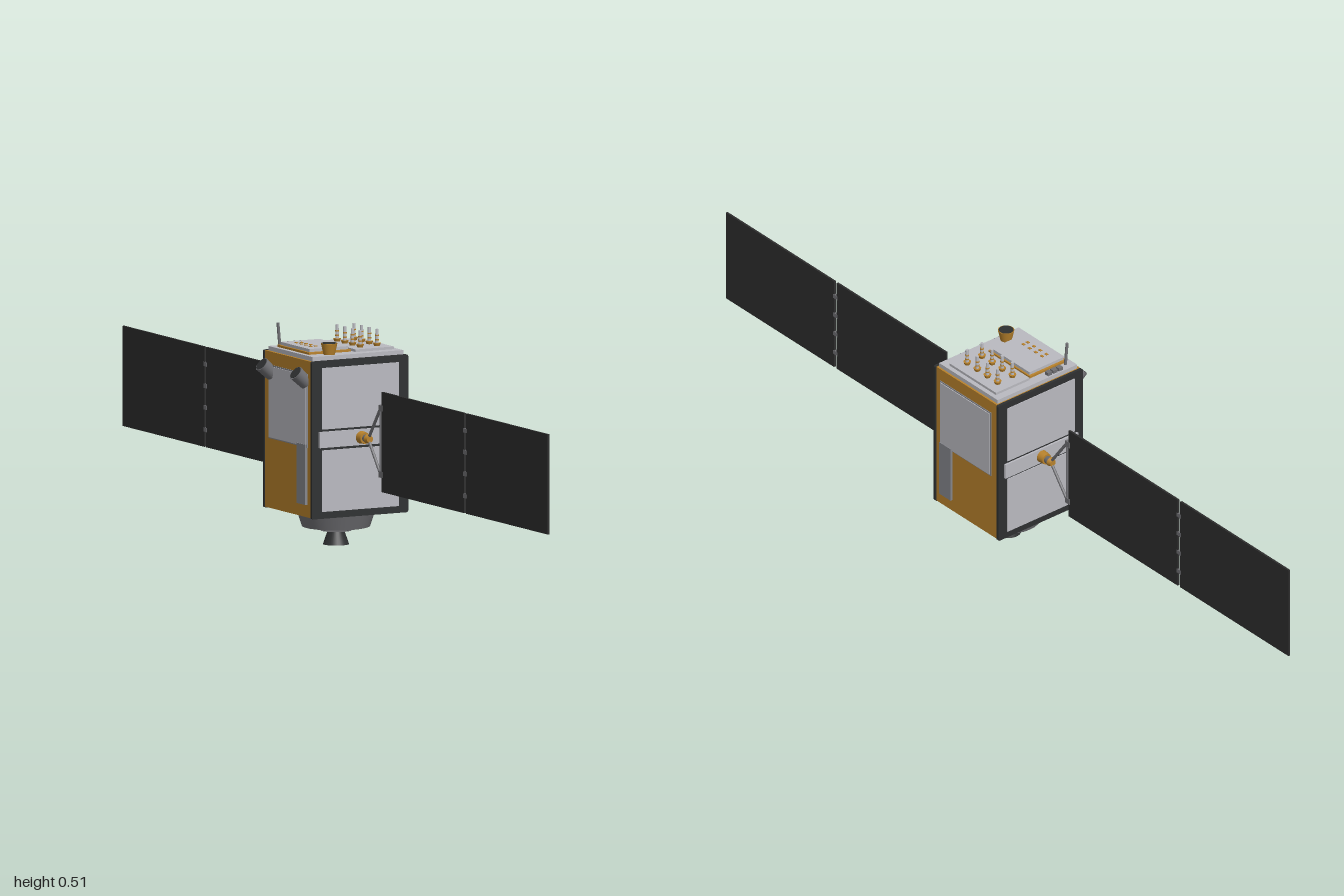
import * as THREE from 'three';

export function createModel() {
  const root = new THREE.Group();
  root.name = 'satellite';
  const mat = (name, color, side = THREE.FrontSide) => {
    const m = new THREE.MeshStandardMaterial({ color, side });
    m.name = name;
    return m;
  };
  const gold = mat('goldFoil', 0xb8822c);
  const light = mat('lightGrey', 0xbabac0);
  const mid = mat('midGrey', 0x85868c);
  const steel = mat('steelGrey', 0x707074);
  const dark = mat('darkFrame', 0x2e3031, THREE.DoubleSide);
  const cell = mat('solarCell', 0x2d2d2d);
  const CX = 0.016, HUB_Y = 0.261;

  const add = (parent, name, geo, material, x = 0, y = 0, z = 0) => {
    const m = new THREE.Mesh(geo, material);
    m.name = name;
    m.position.set(x, y, z);
    parent.add(m);
    return m;
  };
  // Box given by its limits on each axis
  const box = (parent, name, material, x0, x1, y0, y1, z0, z1) =>
    add(parent, name, new THREE.BoxGeometry(x1 - x0, y1 - y0, z1 - z0), material,
      (x0 + x1) / 2, (y0 + y1) / 2, (z0 + z1) / 2);
  // Upright cylinder or cone given by its bottom and top
  const cone = (parent, name, material, r0, r1, y0, y1, x, z, open = false) =>
    add(parent, name, new THREE.CylinderGeometry(r1, r0, y1 - y0, 32, 1, open), material, x, (y0 + y1) / 2, z);
  // Round bar between two points
  const bar = (parent, name, material, a, b, r0, r1 = r0) => {
    const A = new THREE.Vector3(...a), B = new THREE.Vector3(...b), d = B.clone().sub(A);
    const m = add(parent, name, new THREE.CylinderGeometry(r1, r0, d.length(), 24), material);
    m.position.copy(A).add(B).multiplyScalar(0.5);
    m.quaternion.setFromUnitVectors(new THREE.Vector3(0, 1, 0), d.normalize());
    return m;
  };

  // Main body
  box(root, 'body', gold, -0.109, 0.139, 0.081, 0.442, -0.111, 0.111);

  // Front and back: frame, panels, hub and solar wing; the back is turned round the hub axis
  const rim = (shape, x0, x1, y0, y1, r) => {
    shape.moveTo(x0 + r, y0);
    shape.lineTo(x1 - r, y0); shape.quadraticCurveTo(x1, y0, x1, y0 + r);
    shape.lineTo(x1, y1 - r); shape.quadraticCurveTo(x1, y1, x1 - r, y1);
    shape.lineTo(x0 + r, y1); shape.quadraticCurveTo(x0, y1, x0, y1 - r);
    shape.lineTo(x0, y0 + r); shape.quadraticCurveTo(x0, y0, x0 + r, y0);
    return shape;
  };
  const frameShape = rim(new THREE.Shape(), -0.111, 0.141, 0.079, 0.443, 0.005);
  const frameGeo = new THREE.ExtrudeGeometry(frameShape, { depth: 0.007, bevelEnabled: false });
  for (const s of [1, -1]) {
    const side = new THREE.Group();
    side.name = s > 0 ? 'frontSide' : 'backSide';
    root.add(side);
    add(side, 'endFrame', frameGeo, dark, 0, 0, s > 0 ? 0.108 : -0.115);
    const plate = (name, m, x0, x1, y0, y1, z0, z1) =>
      box(side, name, m, x0, x1, y0, y1, Math.min(s * z0, s * z1), Math.max(s * z0, s * z1));
    plate('upperPanel', light, -0.085, 0.115, 0.285, 0.427, 0.112, 0.117);
    plate('lowerPanel', light, -0.085, 0.115, 0.095, 0.237, 0.112, 0.117);
    plate('crossBeam', light, -0.093, 0.124, 0.243, 0.28, 0.112, 0.12);

    // Hub and yoke
    bar(side, 'hubBase', gold, [CX, HUB_Y, s * 0.118], [CX, HUB_Y, s * 0.138], 0.015, 0.013);
    bar(side, 'hubDrive', steel, [CX, HUB_Y, s * 0.136], [CX, HUB_Y, s * 0.15], 0.008, 0.011);
    bar(side, 'hubCap', gold, [CX, HUB_Y, s * 0.15], [CX, HUB_Y, s * 0.16], 0.011, 0.008);
    for (const y of [0.187, 0.34]) {
      bar(side, 'yokeArm', steel, [CX, HUB_Y, s * 0.152], [CX, y, s * 0.21], 0.0035);
      plate('yokeHinge', steel, CX - 0.004, CX + 0.004, y - 0.007, y + 0.007, 0.207, 0.223);
    }
    bar(side, 'yokeBar', steel, [CX, 0.187, s * 0.21], [CX, 0.34, s * 0.21], 0.003);

    // Wing panels
    plate('innerWingPanel', cell, CX - 0.0025, CX + 0.0025, 0.147, 0.378, 0.218, 0.606);
    plate('outerWingPanel', cell, CX - 0.0025, CX + 0.0025, 0.147, 0.378, 0.615, 1.0);
    for (const y of [0.187, 0.238, 0.288, 0.338])
      plate('wingHinge', steel, CX - 0.003, CX + 0.003, y - 0.005, y + 0.005, 0.603, 0.618);
  }

  // Radiators on both flanks
  const flank = (name, m, y0, y1, z0, z1, depth) => {
    box(root, name, m, 0.138, 0.139 + depth, y0, y1, z0, z1);
    box(root, name, m, -0.109 - depth, -0.108, y0, y1, z0, z1);
  };
  flank('radiatorEdge', mid, 0.242, 0.412, -0.088, 0.093, 0.002);
  flank('radiator', light, 0.245, 0.409, -0.085, 0.09, 0.004);
  flank('lowerRadiator', mid, 0.11, 0.249, 0.05, 0.091, 0.006);

  // Star trackers on the right flank
  for (const z of [-0.08, 0.08]) {
    bar(root, 'trackerTube', steel, [-0.106, 0.39, z], [-0.134, 0.415, z], 0.016, 0.0175);
    bar(root, 'trackerLens', dark, [-0.133, 0.4142, z], [-0.1347, 0.4157, z], 0.0155);
  }

  // Engine section
  cone(root, 'engineSkirt', steel, 0.078, 0.091, 0.042, 0.081, CX, 0);
  cone(root, 'skirtFloor', dark, 0.07, 0.07, 0.0405, 0.0425, CX, 0);
  cone(root, 'engineCollar', light, 0.036, 0.048, 0.032, 0.042, CX, 0);
  cone(root, 'engineNozzle', dark, 0.03, 0.018, 0, 0.034, CX, 0, true);

  // Top deck
  box(root, 'topDeck', light, -0.103, 0.134, 0.441, 0.452, -0.104, 0.104);
  box(root, 'antennaDeck', light, 0.023, 0.123, 0.452, 0.458, -0.085, 0.08);
  box(root, 'deckFoil', gold, -0.092, 0.018, 0.452, 0.457, -0.08, 0.067);
  box(root, 'deckPlate', light, -0.087, 0.014, 0.457, 0.464, -0.074, 0.06);
  for (const z of [-0.04, -0.018, 0.004, 0.026])
    for (const x of [-0.065, -0.052]) box(root, 'deckMark', gold, x - 0.003, x + 0.003, 0.463, 0.4655, z - 0.004, z + 0.004);
  for (const x of [-0.058, -0.042, -0.026])
    box(root, 'deckBox', steel, x - 0.006, x + 0.006, 0.452, 0.46, -0.1, -0.088);

  // Grid of eight banded antennas
  for (const x of [0.05, 0.094])
    for (const z of [-0.056, -0.02, 0.016, 0.052]) {
      cone(root, 'antennaBase', gold, 0.006, 0.009, 0.457, 0.465, x, z);
      cone(root, 'antennaRod', light, 0.0042, 0.0036, 0.465, 0.497, x, z);
      for (const y of [0.471, 0.481]) cone(root, 'antennaBand', gold, 0.0046, 0.0046, y, y + 0.003, x, z);
    }

  // Horn and whip antenna
  cone(root, 'horn', gold, 0.013, 0.019, 0.451, 0.478, -0.048, 0.083);
  cone(root, 'hornMouth', dark, 0.017, 0.017, 0.477, 0.4787, -0.048, 0.083);
  bar(root, 'whipAntenna', steel, [-0.083, 0.452, -0.086], [-0.088, 0.507, -0.086], 0.0035);

  return root;
}
